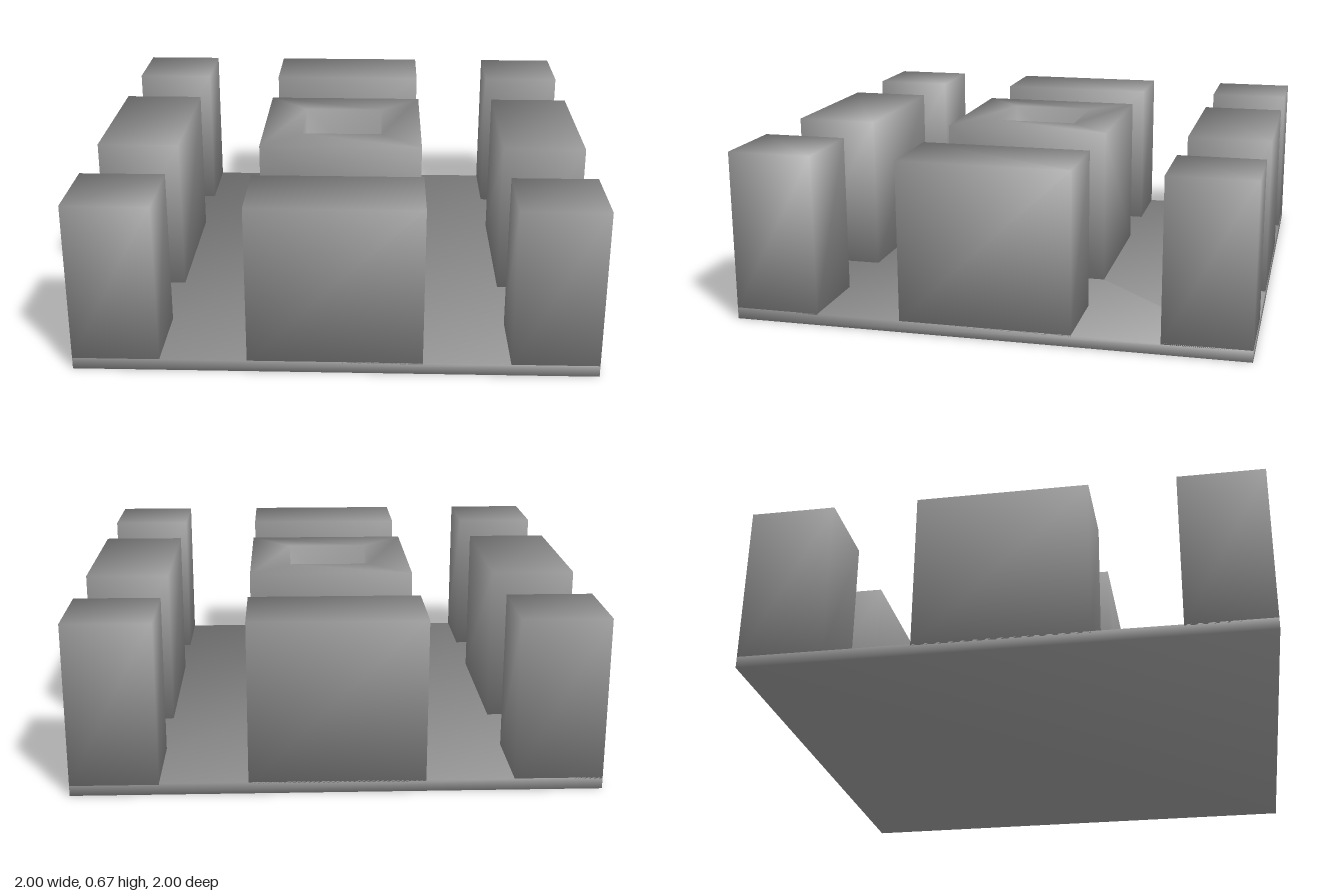
import * as THREE from 'three';

const T = 1 / 3;          // grid module of streets and blocks
const HEIGHT = 0.67;      // roof level
const FOOT = 0.04;        // buildings start just inside the slab
const PIT = 0.33;         // courtyard depth

const material = new THREE.MeshStandardMaterial({ color: 0x969696 });

// Box given by its extents, with shading rounded over the corners
function softBox(name, x0, x1, y0, y1, z0, z1) {
  const geo = new THREE.BoxGeometry(x1 - x0, y1 - y0, z1 - z0);
  const p = geo.attributes.position;
  const k = 1 / Math.sqrt(3);
  for (let i = 0; i < p.count; i++) {
    geo.attributes.normal.setXYZ(i,
      Math.sign(p.getX(i)) * k, Math.sign(p.getY(i)) * k, Math.sign(p.getZ(i)) * k);
  }
  const mesh = new THREE.Mesh(geo, material);
  mesh.name = name;
  mesh.position.set((x0 + x1) / 2, (y0 + y1) / 2, (z0 + z1) / 2);
  return mesh;
}

// Square building with a square courtyard sunk into its roof
function courtyardBuilding() {
  const outer = T * Math.SQRT2;
  const inner = outer / 2;
  // radius, height, then outward and upward part of the shading normal
  const rows = [
    [0, FOOT, 0, -1],
    [outer, FOOT, 0.816, -0.577],
    [outer, HEIGHT, 0.816, 0.577],
    [inner, HEIGHT, -0.426, 0.905],
    [inner, HEIGHT - PIT, -0.816, 0.577],
    [0, HEIGHT - PIT, 0, 1],
  ];
  const profile = rows.map(([r, y]) => new THREE.Vector2(r, y));
  const geo = new THREE.LatheGeometry(profile, 4, Math.PI / 4);
  for (let i = 0; i <= 4; i++) {
    const angle = Math.PI / 4 + i * Math.PI / 2;
    rows.forEach(([, , out, up], j) => {
      geo.attributes.normal.setXYZ(i * rows.length + j,
        out * Math.sin(angle), up, out * Math.cos(angle));
    });
  }
  const mesh = new THREE.Mesh(geo, material);
  mesh.name = 'courtyardBuilding';
  return mesh;
}

export function createModel() {
  const model = new THREE.Group();
  model.name = 'cityBlocks';

  // Ground slab
  model.add(softBox('groundSlab', -1, 1, 0, 0.045, -1, 1));

  // Ring of eight buildings, the outer ones cut off at the slab's edge
  const spans = [[-1, -2 * T], [-T, T], [2 * T, 1]];
  spans.forEach(([x0, x1], i) => {
    spans.forEach(([z0, z1], j) => {
      if (i === 1 && j === 1) return;
      const name = i !== 1 && j !== 1 ? 'cornerBuilding' : 'sideBuilding';
      model.add(softBox(name, x0, x1, FOOT, HEIGHT, z0, z1));
    });
  });

  // Central building
  model.add(courtyardBuilding());

  return model;
}
